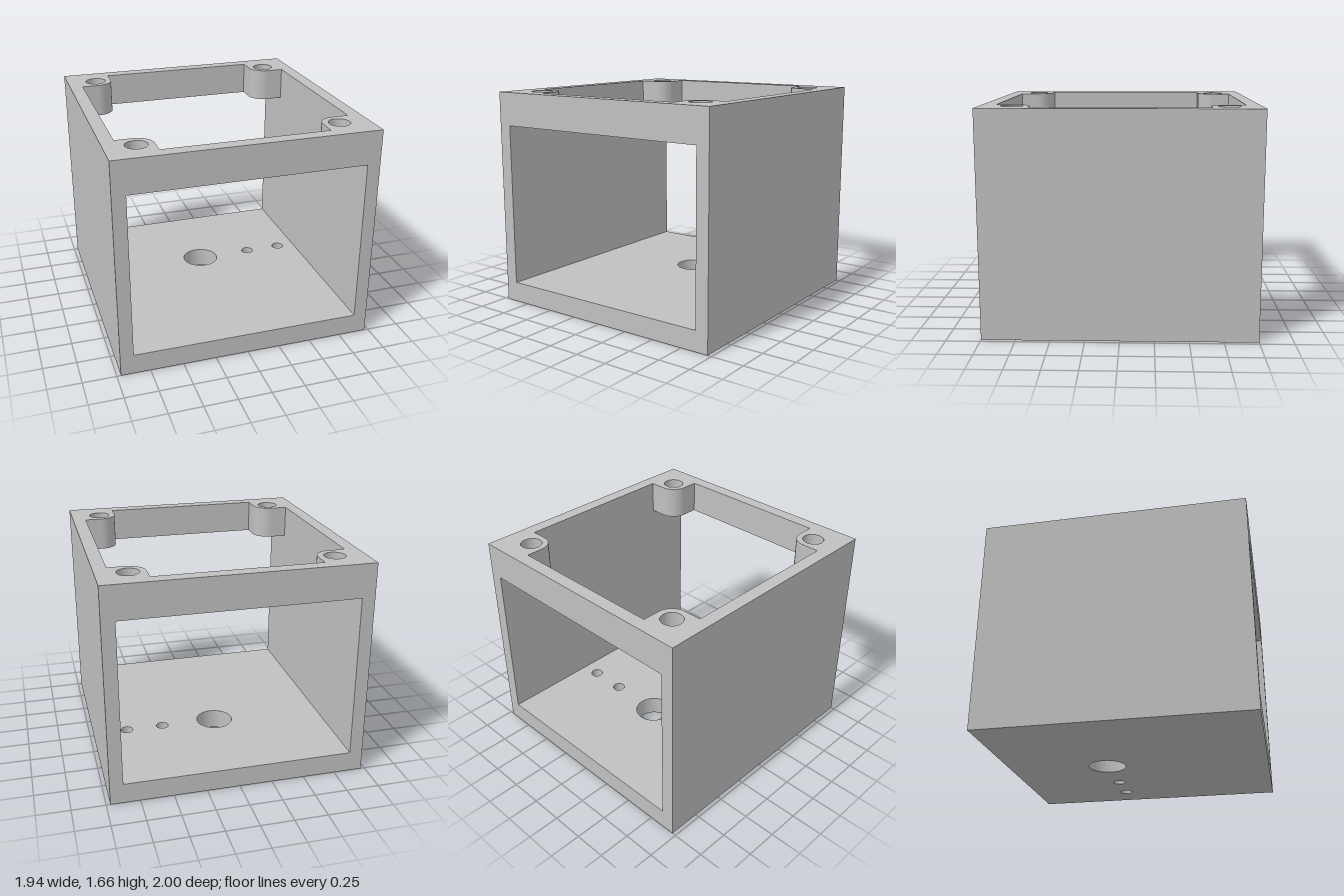
import * as THREE from 'three';
import { toCreasedNormals } from 'three/addons/utils/BufferGeometryUtils.js';

const W = 0.97, D = 1;              // outer half width and half depth
const IW = 0.87, ID = 0.9;          // half size of the top opening
const FLOOR = 0.155, RIM = 1.41, TOP = 1.665;

function rectangle() {
  return new THREE.Shape([[-W, -D], [W, -D], [W, D], [-W, D]].map(([x, y]) => new THREE.Vector2(x, y)));
}

function hole(x, z, r) {
  return new THREE.Path().absarc(x, -z, r, 0, Math.PI * 2, true);
}

// Extrudes a plan shape (drawn with y = -z) upwards between two heights
function slab(shape, y0, y1) {
  const geo = new THREE.ExtrudeGeometry(shape, { depth: y1 - y0, bevelEnabled: false, curveSegments: 32 });
  geo.rotateX(-Math.PI / 2).translate(0, y0, 0);
  return toCreasedNormals(geo, 0.5);
}

export function createModel() {
  const group = new THREE.Group();
  const grey = new THREE.MeshStandardMaterial({ color: 0xc0c0c0 });
  grey.name = 'grey';

  const add = (name, geo) => {
    const mesh = new THREE.Mesh(geo, grey);
    mesh.name = name;
    group.add(mesh);
  };

  // Floor with one large and two small through holes
  const floor = rectangle();
  floor.holes.push(hole(0, -0.235, 0.143), hole(0.435, -0.235, 0.048), hole(0.725, -0.235, 0.048));
  add('floor', slab(floor, 0, FLOOR));

  // Side walls; front and back stay open
  for (const [name, side] of [['leftWall', 1], ['rightWall', -1]]) {
    const wall = new THREE.BoxGeometry(W - IW, RIM - FLOOR, 2 * D);
    wall.translate(side * (W + IW) / 2, (RIM + FLOOR) / 2, 0);
    add(name, wall);
  }

  // Top rim with a rounded screw boss in each corner
  const bx = 0.742, by = 0.77, r = 0.127, q = Math.PI / 2;
  const opening = new THREE.Path();
  opening.moveTo(IW, -by + r);
  opening.lineTo(IW, by - r);
  opening.absarc(bx, by, r, -q, -2 * q, true);
  opening.lineTo(bx - r, ID);
  opening.lineTo(-bx + r, ID);
  opening.absarc(-bx, by, r, 0, -q, true);
  opening.lineTo(-IW, by - r);
  opening.lineTo(-IW, -by + r);
  opening.absarc(-bx, -by, r, q, 0, true);
  opening.lineTo(-bx + r, -ID);
  opening.lineTo(bx - r, -ID);
  opening.absarc(bx, -by, r, 2 * q, q, true);
  opening.closePath();

  const rim = rectangle();
  rim.holes.push(opening);
  for (const sx of [-1, 1]) for (const sz of [-1, 1]) rim.holes.push(hole(sx * bx, sz * by, 0.08));
  add('topRimWithBosses', slab(rim, RIM, TOP));

  return group;
}
